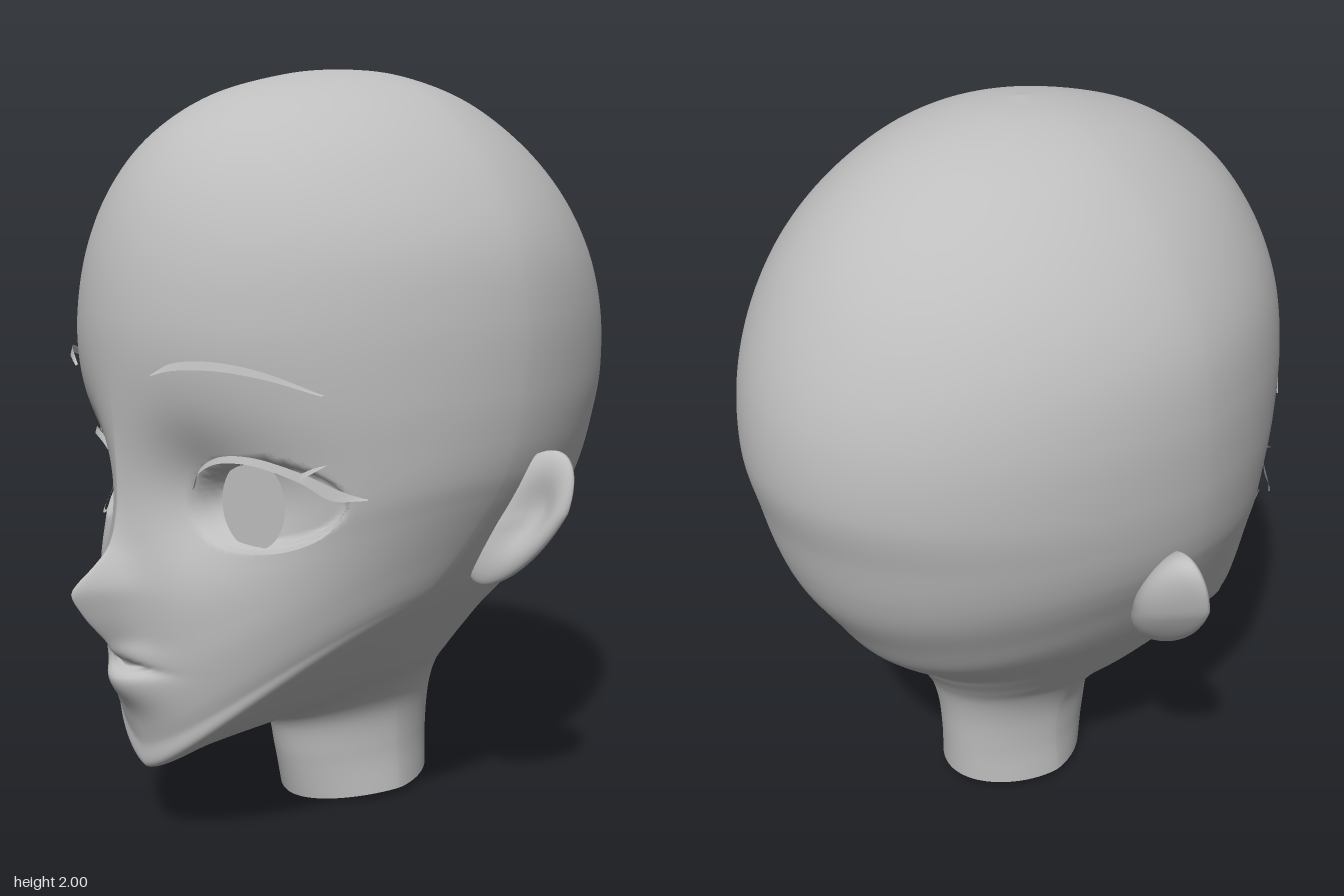
import * as THREE from 'three';

const ROWS = 210, COLS = 240;

// Matching key points, from the neck base over the jaw to the crown
const FRONT = [ // y, z
  [0, .145], [.12, .175], [.22, .2], [.255, .25], [.24, .36], [.22, .5], [.2, .62], [.27, .635],
  [.34, .65], [.45, .665], [.56, .67], [.68, .68], [.8, .69], [.95, .697], [1.15, .707], [1.35, .71],
  [1.53, .68], [1.69, .615], [1.82, .51], [1.92, .35], [1.98, .14], [2, -.03]];
const SIDE = [ // x, y, z
  [.2, .02, -.08], [.19, .14, -.08], [.198, .26, -.07], [.245, .35, -.01], [.325, .43, .07],
  [.41, .53, .13], [.475, .615, .15], [.51, .67, .13], [.535, .72, .1], [.565, .79, .06], [.592, .855, .03],
  [.618, .92, 0], [.64, .985, -.02], [.656, 1.07, -.04], [.666, 1.19, -.05], [.664, 1.36, -.06],
  [.637, 1.52, -.06], [.572, 1.66, -.06], [.467, 1.795, -.05], [.325, 1.91, -.05], [.165, 1.978, -.04], [0, 2, -.03]];
const BACK = [ // y, z
  [.03, -.31], [.13, -.315], [.25, -.325], [.34, -.345], [.4, -.375], [.45, -.41], [.49, -.44],
  [.53, -.49], [.57, -.54], [.63, -.6], [.72, -.66], [.83, -.73], [.93, -.77], [1.05, -.8], [1.2, -.833],
  [1.37, -.82], [1.53, -.765], [1.69, -.67], [1.82, -.545], [1.925, -.38], [1.982, -.2], [2, -.03]];

const curve = pts => new THREE.CatmullRomCurve3(
  pts.map(p => p.length === 2 ? new THREE.Vector3(0, p[0], p[1]) : new THREE.Vector3(...p)), false, 'catmullrom', .5);
const bell = (d, w) => Math.exp(-((d / w) ** 2));
const nosePoints = new THREE.SplineCurve([[.5, 0], [.56, .065], [.6, .1], [.64, .127], [.69, .15], [.72, .126],
  [.75, .085], [.8, .035], [.88, .012], [1, .004], [1.1, 0]].map(p => new THREE.Vector2(...p))).getPoints(60);

function noseAt(y) {
  const i = nosePoints.findIndex(p => p.x > y);
  if (i < 1) return 0;
  const a = nosePoints[i - 1], b = nosePoints[i];
  return THREE.MathUtils.lerp(a.y, b.y, (y - a.x) / (b.x - a.x));
}

// Nose, lips and the hollows around the eyes
function faceRelief(x, y) {
  const ax = Math.abs(x);
  let d = noseAt(y) * Math.exp(.15 - Math.hypot(ax / .036, .15));
  d += .052 * bell(y - .455, y < .455 ? .075 : .035) * bell(x, .1);
  d += .02 * bell(y - .52, .03) * bell(x, .1);
  d -= .028 * bell(y - .488, .009) * bell(x, .09);
  d -= .072 * bell(ax - .29, .2) * bell(y - .94, .18);
  d -= .04 * bell(ax - .19, .1) * bell(y - .93, .15);
  return d;
}

// Recessed almond of each eye
function eyeRecess(x, y) {
  const dx = (Math.abs(x) - .335) / .17;
  const e = dx * dx + ((y - .925 - .015 * dx) / .108) ** 2;
  return .05 * (1 - THREE.MathUtils.smoothstep(e, .7, 1.05));
}

function buildHead() {
  const front = curve(FRONT), side = curve(SIDE), back = curve(BACK);
  const pos = [], idx = [], rim = [];
  for (let i = 0; i <= ROWS; i++) {
    const v = i / ROWS, f = front.getPoint(v), s = side.getPoint(v), b = back.getPoint(v);
    const neck = bell(v, .12);
    const wedge = 1.07 + .23 * bell(v - .32, .15) + .15 * neck;
    const taper = 1.16 + .1 * neck;
    const rise = 1.7 - .3 * bell(v - .28, .1);
    for (let j = 0; j < COLS; j++) {
      const u = j / COLS * 2 - 1;
      const t = Math.sign(u) * Math.PI * Math.abs(u) ** 1.4;
      const sn = Math.abs(Math.sin(t)), cs = Math.cos(t), end = cs > 0 ? f : b;
      const x = s.x * Math.sin(t);
      const y = THREE.MathUtils.lerp(end.y, s.y, sn ** (cs > 0 ? rise : 2));
      let z = THREE.MathUtils.lerp(s.z, end.z, Math.abs(cs) ** (cs > 0 ? wedge : taper));
      let cut = 0;
      if (cs > 0 && v > .28) {
        z += faceRelief(x, y) * THREE.MathUtils.smoothstep(v, .28, .36);
        cut = eyeRecess(x, y);
        rim.push([x, y, z]);
      }
      pos.push(x, y, z - cut);
      if (i < ROWS) {
        const a = i * COLS + j, n = i * COLS + (j + 1) % COLS;
        idx.push(a, n, a + COLS, n, n + COLS, a + COLS);
      }
    }
  }
  const geo = new THREE.BufferGeometry();
  geo.setAttribute('position', new THREE.Float32BufferAttribute(pos, 3));
  geo.setIndex(idx);
  geo.computeVertexNormals();
  // Smoothed depth of the face at x, y
  const depth = (x, y) => {
    let sum = 0, total = 0;
    for (const p of rim) {
      const d = (p[0] - x) ** 2 + (p[1] - y) ** 2;
      if (d > .0025) continue;
      const w = Math.exp(-d / .0002);
      sum += w * p[2];
      total += w;
    }
    return total ? sum / total : .4;
  };
  return { geo, depth };
}

// Tapered strip laid on the face; each point is x, y, half height, lift
function buildStrip(points, depth, steps = 24) {
  const line = new THREE.CatmullRomCurve3(points.map(p => new THREE.Vector3(p[0], p[1], p[2])));
  const lift = new THREE.CatmullRomCurve3(points.map(p => new THREE.Vector3(p[3], 0, 0)), false, 'catmullrom');
  const geo = new THREE.PlaneGeometry(1, 1, steps, 1), pos = geo.getAttribute('position');
  for (let i = 0; i <= steps; i++) {
    const p = line.getPoint(i / steps), l = lift.getPoint(i / steps).x;
    const z = depth(p.x, p.y) + l;
    pos.setXYZ(i, p.x, p.y + p.z, z);
    pos.setXYZ(i + steps + 1, p.x, p.y - p.z, z + .006);
  }
  geo.computeVertexNormals();
  return geo;
}

// Flared ear: hollow forward side, thick root behind, lobe drawn in to the jaw
function buildEar() {
  const geo = new THREE.SphereGeometry(1, 40, 32), pos = geo.getAttribute('position');
  for (let i = 0; i < pos.count; i++) {
    const x = pos.getX(i), y = pos.getY(i), z = pos.getZ(i);
    const hollow = z > 0 ? 1.25 * bell(x - .25, .45) * bell(y - .1, .5) : 0;
    const thick = z > 0 ? .04 : .105 * (1 - .65 * x);
    pos.setXYZ(i, .63 + .115 * x + (y > 0 ? .03 : .075) * y, .855 + .175 * y + .03 * x,
      -.1 - .045 * y - .03 * x + thick * (z - hollow));
  }
  geo.computeVertexNormals();
  return geo;
}

export function createModel() {
  const group = new THREE.Group();
  const grey = new THREE.MeshStandardMaterial({ color: 0xbebebe, side: THREE.DoubleSide });
  grey.name = 'plain grey';
  const add = (name, geo) => {
    const mesh = new THREE.Mesh(geo, grey);
    mesh.name = name;
    group.add(mesh);
    return mesh;
  };
  const addPair = (name, geo) => {
    add(name + 'Left', geo);
    add(name + 'Right', geo).scale.x = -1;
  };

  // Head and neck in one skin, open at the neck base
  const { geo, depth } = buildHead();
  add('head', geo);
  addPair('ear', buildEar());

  // Brows and lashes
  addPair('brow', buildStrip([[.17, 1.235, .002, .018], [.23, 1.258, .009, .018], [.33, 1.262, .01, .016],
    [.42, 1.24, .007, .012], [.5, 1.197, .001, .008]], depth));
  addPair('upperLash', buildStrip([[.175, .95, .002, .004], [.2, .995, .006, .008], [.27, 1.032, .008, .012],
    [.36, 1.035, .009, .014], [.45, 1.0, .011, .016], [.5, .965, .015, .026], [.56, .952, .001, .065]], depth, 36));
  addPair('lashTip', buildStrip([[.44, 1.0, .008, .012], [.475, 1.02, .006, .022], [.505, 1.035, .001, .035]], depth, 8));
  addPair('lowerLash', buildStrip([[.22, .845, .001, .004], [.3, .818, .004, .006], [.4, .822, .005, .008],
    [.47, .86, .005, .01], [.515, .93, .002, .012]], depth));

  // Iris plate, present in the left eye only
  const iris = add('irisLeft', new THREE.CircleGeometry(1, 40));
  iris.scale.set(.094, .112, 1);
  iris.position.set(.318, .925, .51);
  iris.rotation.y = .28;
  return group;
}
